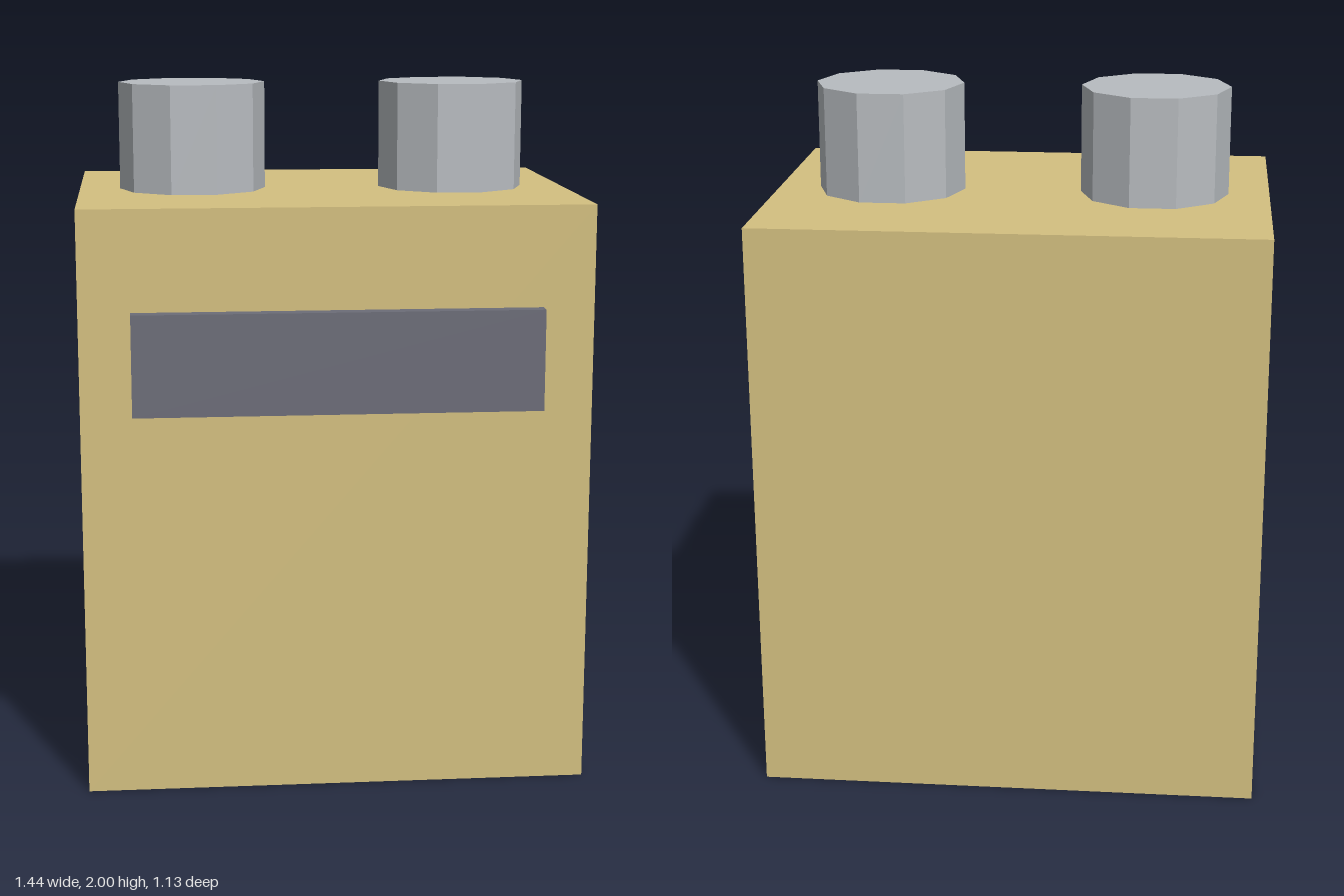
import * as THREE from 'three';

const material = (color) => new THREE.MeshStandardMaterial({ color, flatShading: true });

export function createModel() {
  const model = new THREE.Group();
  model.name = 'batteryBox';

  const add = (name, geometry, mat, x, y, z) => {
    const mesh = new THREE.Mesh(geometry, mat);
    mesh.name = name;
    mesh.position.set(x, y, z);
    model.add(mesh);
  };

  const bodyHeight = 1.686;
  const bodyZ = -0.022;

  // Main block
  add('body', new THREE.BoxGeometry(1.444, bodyHeight, 1.083), material(0xd4c080), 0, bodyHeight / 2, bodyZ);

  // Raised strip on the front
  add('frontStrip', new THREE.BoxGeometry(1.154, 0.288, 0.044), material(0x6c6d78), 0, 1.255, 0.541);

  // Ten-sided terminals, with a corner pointing to each side
  const terminalHeight = 2 - bodyHeight;
  const terminal = new THREE.CylinderGeometry(0.216, 0.216, terminalHeight, 10, 1, false, Math.PI / 2);
  const metal = material(0xb8bcc0);
  for (const [name, side] of [['leftTerminal', 1], ['rightTerminal', -1]]) {
    add(name, terminal, metal, side * 0.387, bodyHeight + terminalHeight / 2, bodyZ - 0.003);
  }

  return model;
}
